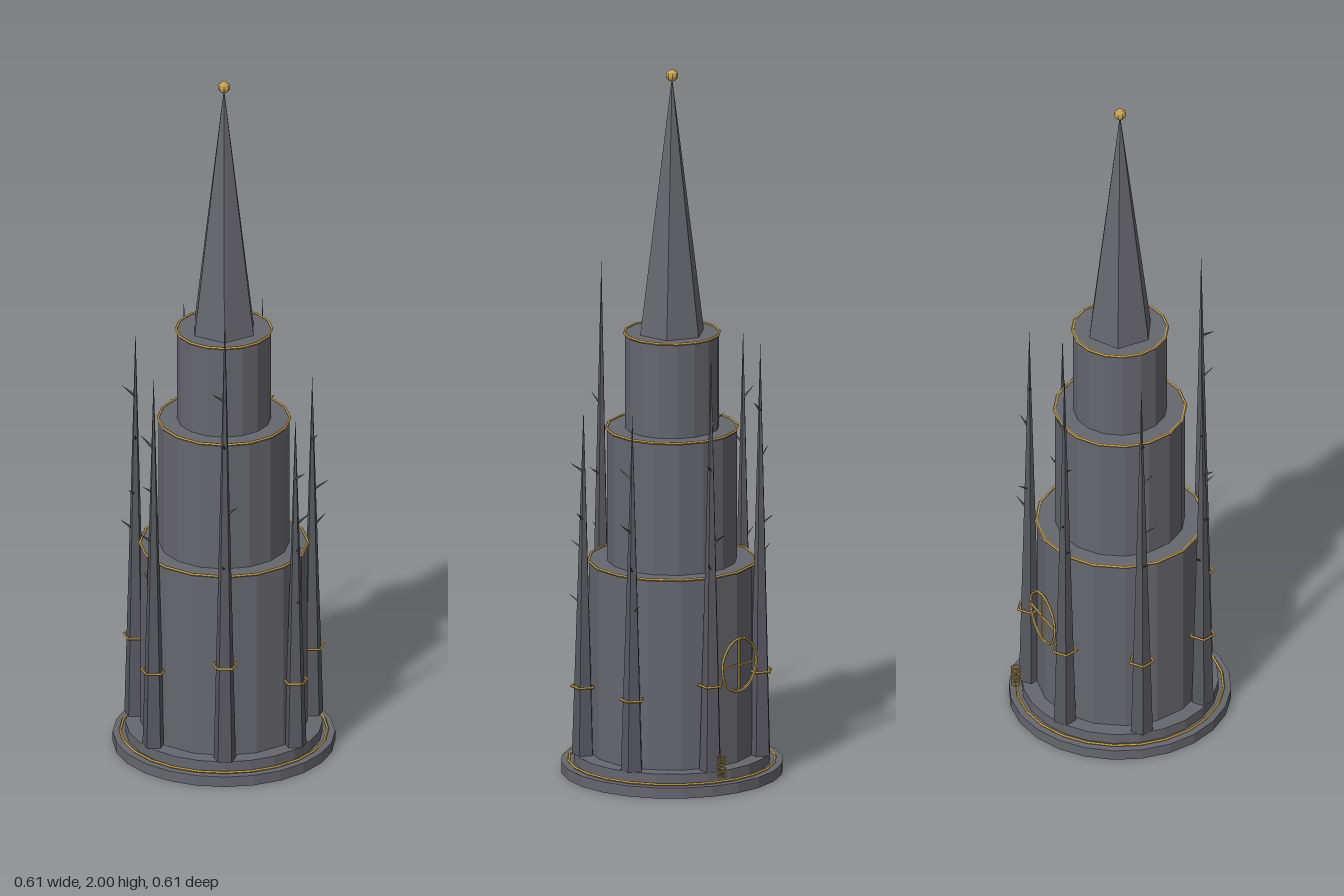
import * as THREE from 'three';

export function createModel() {
  const root = new THREE.Group();
  root.name = 'gothicTower';
  const mat = (name, color) => {
    const m = new THREE.MeshStandardMaterial({ color, flatShading: true });
    m.name = name;
    return m;
  };
  const stone = mat('greyStone', 0x66666e);
  const darkStone = mat('darkStone', 0x585860);
  const gold = mat('gold', 0xc4a052);

  const add = (name, geo, material, x = 0, y = 0, z = 0, parent = root) => {
    const m = new THREE.Mesh(geo, material);
    m.name = name;
    m.position.set(x, y, z);
    parent.add(m);
    return m;
  };
  const drum = (name, r, y0, y1, sides) =>
    add(name, new THREE.CylinderGeometry(r, r, y1 - y0, sides), stone, 0, (y0 + y1) / 2, 0);
  const ring = (name, r, tube, sides, x, y, z, parent = root) =>
    add(name, new THREE.TorusGeometry(r, tube, 5, sides).rotateX(Math.PI / 2), gold, x, y, z, parent);

  // Stepped base
  drum('baseSlab', 0.307, 0, 0.03, 24);
  drum('plinth', 0.272, 0.03, 0.06, 24);
  ring('baseTrim', 0.286, 0.004, 24, 0, 0.034, 0);

  // Three stacked tiers, each with a gilded rim
  [[0.23, 0.06, 0.603], [0.18, 0.603, 0.98], [0.13, 0.98, 1.25]].forEach(([r, y0, y1], i) => {
    drum('tier' + (i + 1), r, y0, y1, 16);
    ring('tierRim' + (i + 1), r + 0.002, 0.004, 16, 0, y1, 0);
  });

  // Central spire and finial ball
  add('spire', new THREE.ConeGeometry(0.094, 0.73, 6), stone, 0, 1.615, 0);
  add('finial', new THREE.SphereGeometry(0.017, 8, 6), gold, 0, 1.983, 0);

  // Seeded numbers for thorn placement
  let seed = 11;
  const rand = () => (seed = (seed * 16807) % 2147483647) / 2147483647;
  const up = new THREE.Vector3(0, 1, 0);

  // Seven thorny pinnacles around the lowest tier, counter-clockwise from the front
  [1.42, 1.05, 1.08, 1.25, 1.24, 1.22, 1.18].forEach((top, i) => {
    const a = (i / 7) * Math.PI * 2;
    const g = new THREE.Group();
    g.name = 'pinnacle' + (i + 1);
    g.position.set(Math.sin(a) * 0.25, 0.06, Math.cos(a) * 0.25);
    root.add(g);
    const h = top - 0.06;
    add('pinnacleSpike', new THREE.ConeGeometry(0.032, h, 5).rotateY(Math.PI), darkStone, 0, h / 2, 0, g);
    ring('pinnacleBand', 0.034, 0.004, 5, 0, top * 0.242 - 0.06, 0, g).rotation.y = Math.PI / 2;
    for (let k = 0; k < 4; k++) {
      const t = 0.42 + k * 0.12 + rand() * 0.06;
      const b = a + (rand() - 0.5) * 3.6;
      const len = 0.045 + rand() * 0.015;
      const dir = new THREE.Vector3(Math.sin(b), 0.75, Math.cos(b)).normalize();
      const thorn = add('thorn', new THREE.ConeGeometry(0.005, len, 4).translate(0, len / 2, 0),
        darkStone, 0, h * t, 0, g);
      thorn.quaternion.setFromUnitVectors(up, dir);
    }
  });

  // Gilded wheel window on the back
  const wheel = new THREE.Group();
  wheel.name = 'wheelWindow';
  wheel.position.set(0, 0.34, -0.238);
  root.add(wheel);
  add('wheelRim', new THREE.TorusGeometry(0.075, 0.004, 5, 20), gold, 0, 0, 0, wheel);
  add('wheelBarUpright', new THREE.BoxGeometry(0.005, 0.15, 0.005), gold, 0, 0, 0, wheel);
  add('wheelBarLevel', new THREE.BoxGeometry(0.15, 0.005, 0.005), gold, 0, 0, 0, wheel);

  // Small stack of rings at the foot of a rear pinnacle
  for (let i = 0; i < 6; i++) ring('coilRing', 0.012, 0.002, 8, 0.112, 0.05 + i * 0.011, -0.266);

  return root;
}
